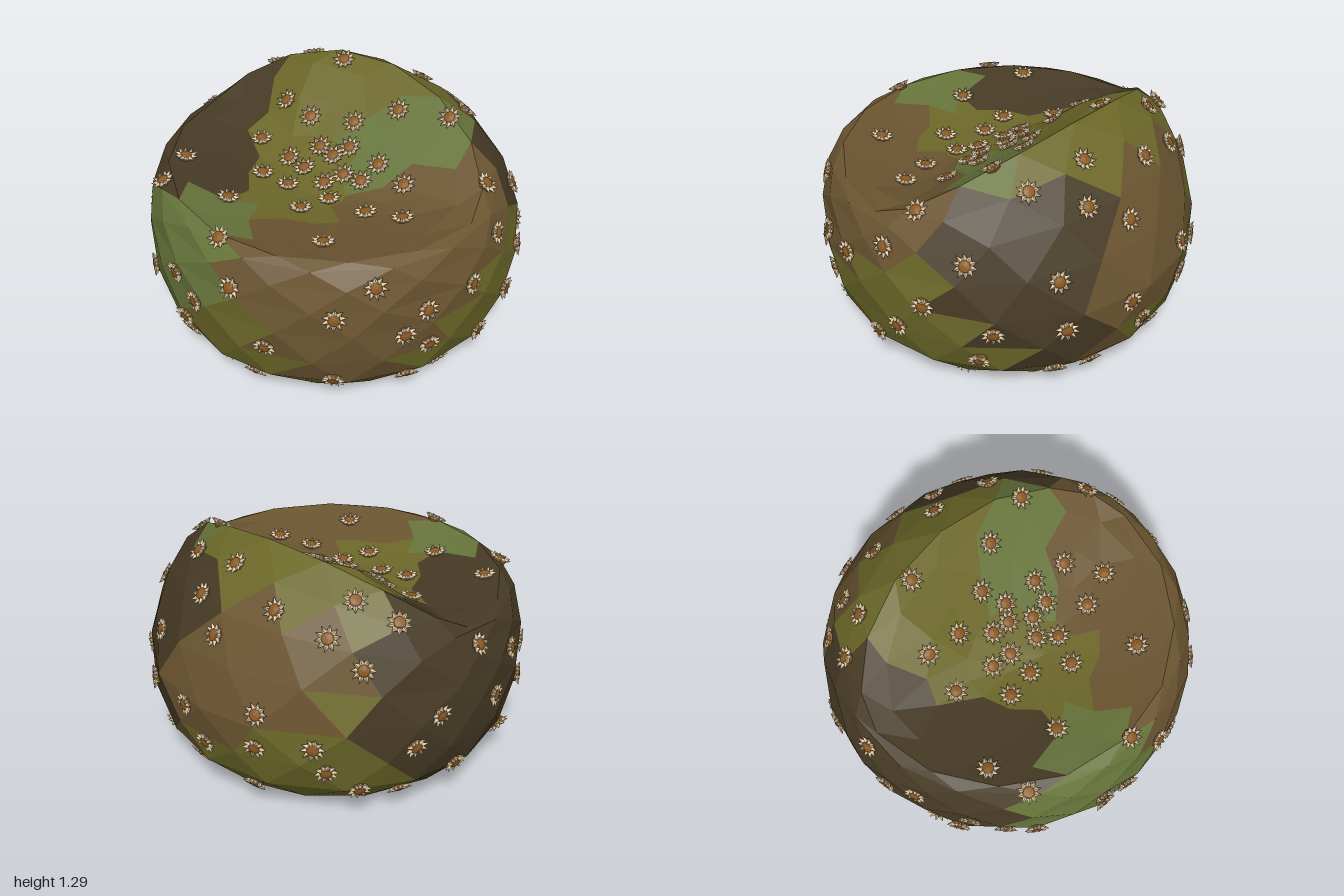
import * as THREE from 'three';
import { mergeGeometries } from 'three/addons/utils/BufferGeometryUtils.js';

const SEG = 16;
const LEVELS = 16;
const COLORS = { olive: 0x6c6829, brown: 0x6b5531, dark: 0x473b25, green: 0x66743a };

// camouflage patch centres, grouped by colour
const PATCHES = {
  olive: [[0, .3, .9], [.85, .3, -.2], [0, 1.3, -.47], [-.4, .2, -.8], [-.1, .92, .1]],
  brown: [[.6, .75, .7], [.6, 1, .1], [-.1, .8, -.9]],
  dark: [[-.6, .95, .4], [-.95, .65, 0], [0, .05, 0], [.5, .9, -.75]],
  green: [[-.3, .68, .9], [.25, 1, -.2]],
};

function seeded(seed) {
  return () => (seed = (seed * 16807) % 2147483647) / 2147483647;
}

// cross-section of the bag at one angle, from the underside to the middle of the seat
function ringPoint(level, angle) {
  const s = Math.sin(angle), c = Math.cos(angle);
  const back = Math.max(0, -c);
  const lower = [[0, .06], [.3, .05], [.58, .05], [.78, .1], [.91, .24], [.965, .42], [.98, .6]];
  if (level < lower.length) {
    const [r, y] = lower[level];
    return new THREE.Vector3(r * s, y, r * c);
  }
  const rim = new THREE.Vector3(.86 * s, .965 - .04 * s * back + .34 * back ** 1.4, c > 0 ? .85 * c : .46 * c);
  if (level < 11) {
    // rounded wall, straighter towards the backrest
    const up = (level - 6) / 4;
    const a = up * Math.PI / 2;
    const round = 1 - .45 * back;
    const out = THREE.MathUtils.lerp(1 - up, Math.cos(a), round);
    const rise = THREE.MathUtils.lerp(up, Math.sin(a), round);
    return new THREE.Vector3(rim.x + (.98 * s - rim.x) * out, .6 + (rim.y - .6) * rise, rim.z + (.98 * c - rim.z) * out);
  }
  // dished seat with a soft swelling on one side of the backrest
  const t = (15 - level) / 4.6;
  const p = new THREE.Vector3(.04, .88, .25).lerp(rim, t);
  p.y = .88 + (rim.y - .88) * t ** 1.5;
  p.y += .07 * Math.exp(-((p.x + .38) ** 2 + (p.z + .2) ** 2) / .04);
  return p;
}

function patchColor(p) {
  let best = Infinity, name;
  for (const key in PATCHES) {
    for (const q of PATCHES[key]) {
      const d = p.distanceTo(new THREE.Vector3(...q));
      if (d < best) { best = d; name = key; }
    }
  }
  return name;
}

function createBag() {
  const rand = seeded(77);
  const rings = [];
  for (let i = 0; i < LEVELS; i++) {
    const wobble = i === 10 ? 0 : .2;
    rings.push(Array.from({ length: SEG }, (_, j) =>
      ringPoint(i, (j + (i % 2) * .5 + (rand() - .5) * wobble) * 2 * Math.PI / SEG)));
  }
  const faces = { olive: [], brown: [], dark: [], green: [] };
  const tri = (a, b, c) => {
    if (Math.min(a.distanceTo(b), b.distanceTo(c), c.distanceTo(a)) < 1e-5) return;
    const mid = a.clone().add(b).add(c).divideScalar(3);
    const list = faces[patchColor(mid)];
    for (const v of [a, b, c]) list.push(v.x, v.y, v.z);
  };
  for (let i = 0; i < LEVELS - 1; i++) {
    for (let j = 0; j < SEG; j++) {
      const k = (j + 1) % SEG;
      const a = rings[i][j], b = rings[i][k], c = rings[i + 1][k], d = rings[i + 1][j];
      if (i % 2) { tri(a, c, d); tri(a, b, c); } else { tri(a, b, d); tri(b, c, d); }
    }
  }
  const bag = new THREE.Group();
  bag.name = 'beanBag';
  for (const key in faces) {
    const geo = new THREE.BufferGeometry();
    geo.setAttribute('position', new THREE.Float32BufferAttribute(faces[key], 3));
    geo.computeVertexNormals();
    const mesh = new THREE.Mesh(geo, new THREE.MeshStandardMaterial({ color: COLORS[key], flatShading: true }));
    mesh.name = key + 'Patches';
    bag.add(mesh);
  }
  return bag;
}

// ring of small pointed petals around a stud, facing +z
function petalGeometry() {
  const petals = [];
  for (let i = 0; i < 10; i++) {
    const g = new THREE.ConeGeometry(.014, .034, 4);
    g.translate(0, .05, 0).rotateX(.3).rotateZ(i * Math.PI / 5);
    petals.push(g);
  }
  return mergeGeometries(petals);
}

// studs scattered all over the bag, each seated square on the face below it
function createStuds(bag) {
  const COUNT = 110;
  const knobGeo = new THREE.SphereGeometry(.044, 7, 5).rotateX(Math.PI / 2).scale(1, 1, .6);
  const petalGeo = petalGeometry();
  const knobMat = new THREE.MeshStandardMaterial({ color: 0x8a5a22, flatShading: true });
  const petalMat = new THREE.MeshStandardMaterial({ color: 0xd6bf9c, flatShading: true });
  const studs = new THREE.Group();
  studs.name = 'studs';
  const rand = seeded(5);
  const ray = new THREE.Raycaster();
  const core = new THREE.Vector3(0, .6, 0);
  for (let i = 0; i < COUNT; i++) {
    // spiral over the sphere, loosened so that some studs bunch together
    const phi = Math.acos(1 - 2 * (i + .5) / COUNT) + (rand() - .5) * .2;
    const theta = i * 2.4 + (rand() - .5) * .3;
    const dir = new THREE.Vector3().setFromSphericalCoords(1, phi, theta);
    ray.set(core.clone().addScaledVector(dir, 3), dir.clone().negate());
    const hit = ray.intersectObject(bag, true)[0];
    if (!hit) continue;
    const knob = new THREE.Mesh(knobGeo, knobMat);
    knob.name = 'knob';
    const petals = new THREE.Mesh(petalGeo, petalMat);
    petals.name = 'petals';
    const stud = new THREE.Group();
    stud.name = 'stud';
    stud.add(knob, petals);
    stud.position.copy(hit.point);
    stud.quaternion.setFromUnitVectors(new THREE.Vector3(0, 0, 1), hit.face.normal);
    stud.rotateZ(rand() * 6);
    studs.add(stud);
  }
  return studs;
}

export function createModel() {
  const model = new THREE.Group();
  const bag = createBag();
  model.add(bag, createStuds(bag));
  return model;
}
